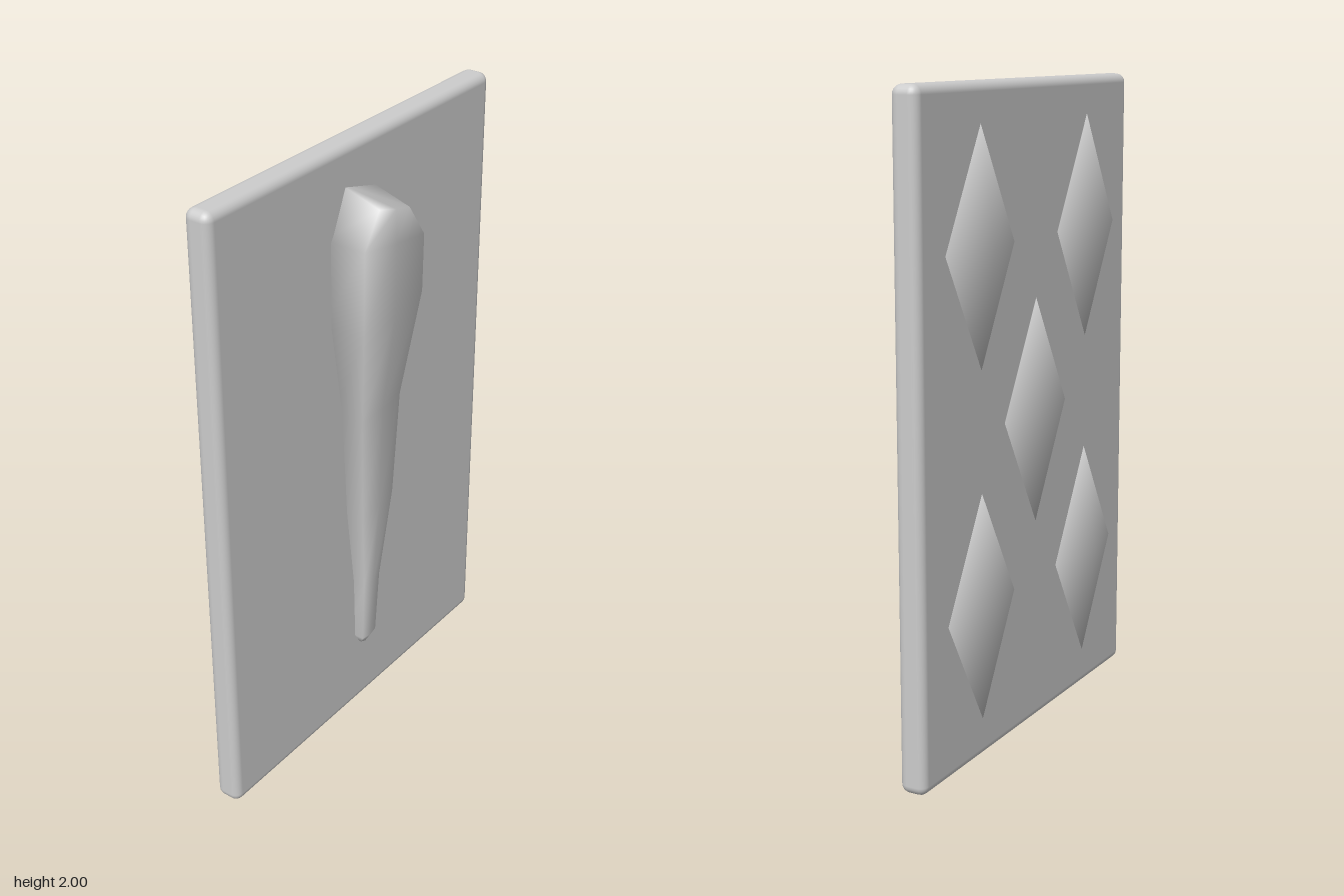
import * as THREE from 'three';
import { RoundedBoxGeometry } from 'three/addons/geometries/RoundedBoxGeometry.js';

const grey = () => new THREE.MeshStandardMaterial({ color: 0xcccccc });

function add(group, name, geometry, x = 0, y = 0, z = 0) {
  const mesh = new THREE.Mesh(geometry, grey());
  mesh.name = name;
  mesh.position.set(x, y, z);
  group.add(mesh);
  return mesh;
}

// Tapered relief lofted through five-cornered sections, listed top to bottom
function reliefGeometry() {
  // left x, left y, right x, right y, front z, drop of the front edge
  const rings = [
    [-0.075, 1.885, 0.065, 1.845, 0.13, 0.045],
    [-0.142, 1.735, 0.14, 1.69, 0.13, 0],
    [-0.145, 1.47, 0.136, 1.51, 0.13, 0],
    [-0.095, 1.15, 0.09, 1.17, 0.088, 0],
    [-0.075, 0.79, 0.075, 0.82, 0.075, 0],
    [-0.04, 0.5, 0.036, 0.51, 0.055, 0],
    [-0.034, 0.28, 0.03, 0.285, 0.045, 0],
    [-0.012, 0.243, 0.012, 0.245, 0.022, 0],
  ];
  const back = -0.02, n = 5;
  const points = [], index = [];
  for (const [xl, yl, xr, yr, zf, drop] of rings) {
    points.push(
      xl, yl, back,
      xl, yl - drop, zf - 0.006,
      (xl + xr) / 2, (yl + yr) / 2 - drop, zf + 0.002,
      xr, yr - drop, zf - 0.003,
      xr, yr, back,
    );
  }
  for (let i = 0; i < rings.length - 1; i++) {
    for (let j = 0; j < n; j++) {
      const a = i * n + j, b = i * n + (j + 1) % n;
      index.push(a, a + n, b, b, a + n, b + n);
    }
  }
  // End caps
  const last = (rings.length - 1) * n;
  for (let j = 1; j < n - 1; j++) {
    index.push(0, j, j + 1, last, last + j + 1, last + j);
  }
  const geometry = new THREE.BufferGeometry();
  geometry.setAttribute('position', new THREE.Float32BufferAttribute(points, 3));
  geometry.setIndex(index);
  geometry.computeVertexNormals();
  return geometry;
}

export function createModel() {
  const model = new THREE.Group();
  model.name = 'card';

  // Upright plate with softened edges
  add(model, 'plate', new RoundedBoxGeometry(1.294, 2, 0.086, 3, 0.028), 0, 1, -0.035);

  // Tapered relief on the front
  add(model, 'frontRelief', reliefGeometry());

  // Five smooth-shaded diamonds on the back
  const diamond = new THREE.SphereGeometry(1, 4, 2);
  diamond.scale(0.195, 0.348, 0.045);
  const spots = [[0, 0], [-1, -1], [1, -1], [-1, 1], [1, 1]];
  spots.forEach(([i, j], k) => {
    add(model, `backDiamond${k + 1}`, diamond, -0.006 + i * 0.331, 1.007 + j * 0.53, -0.087);
  });

  return model;
}
